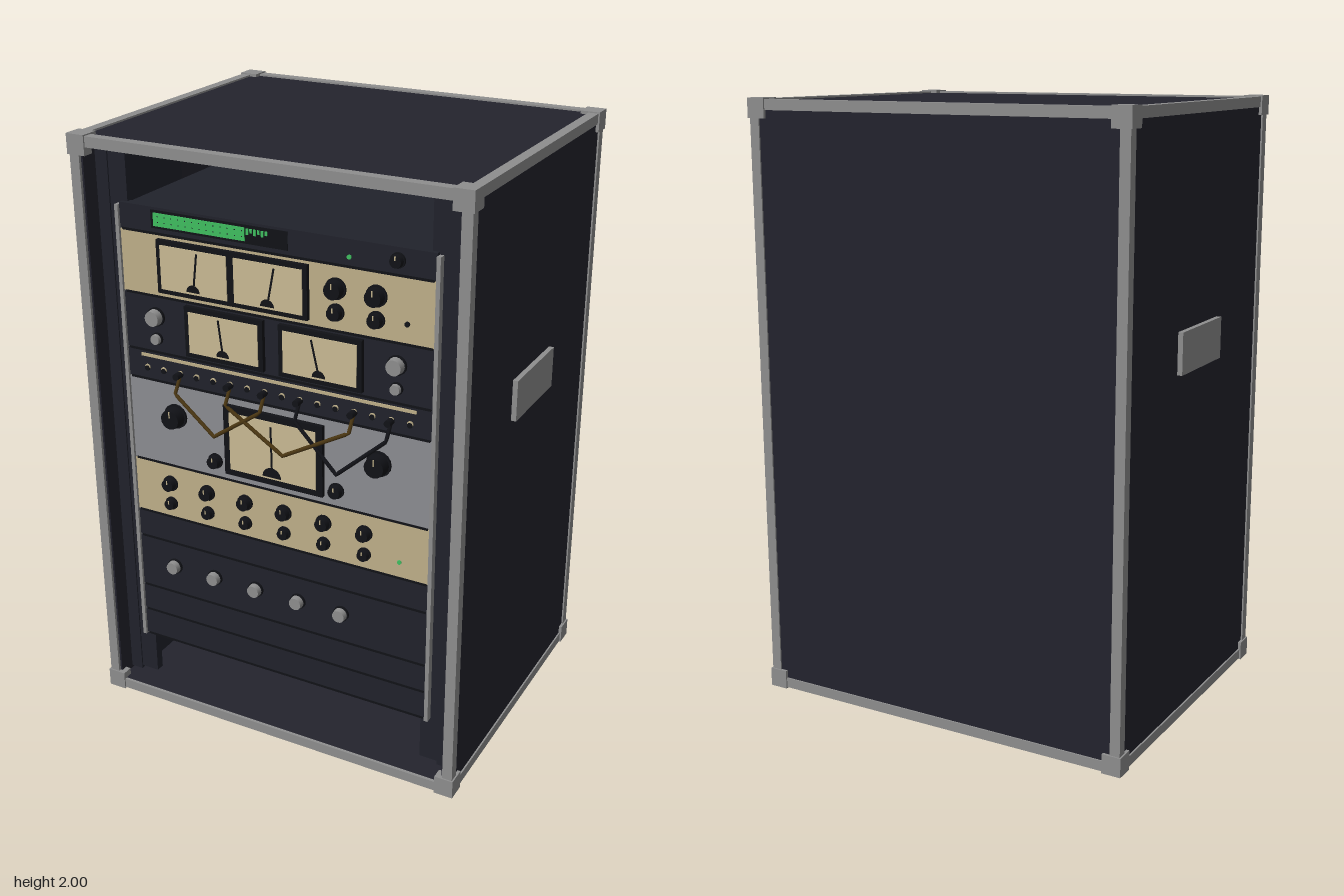
import * as THREE from 'three';

const mat = (name, color) => {
  const m = new THREE.MeshStandardMaterial({ color });
  m.name = name;
  return m;
};

export function createModel() {
  const shell = mat('dark shell', 0x23232d);
  const unitDark = mat('dark faceplate', 0x20222b);
  const black = mat('black plastic', 0x111217);
  const metal = mat('grey metal', 0x8e8e8e);
  const plate = mat('grey faceplate', 0x8c8d92);
  const cream = mat('cream faceplate', 0xbfb08a);
  const dial = mat('meter dial', 0xcabb94);
  const green = mat('green light', 0x3fbf60);
  const brown = mat('brown cable', 0x4a3612);

  const root = new THREE.Group();
  root.name = 'equipmentRack';
  const FACE = 0.47; // front plane of the rack units

  const group = (name, parent = root) => {
    const g = new THREE.Group();
    g.name = name;
    parent.add(g);
    return g;
  };
  const add = (parent, name, geo, m, x, y, z) => {
    const mesh = new THREE.Mesh(geo, m);
    mesh.name = name;
    mesh.position.set(x, y, z);
    parent.add(mesh);
    return mesh;
  };
  // box given by its min and max corners
  const span = (parent, name, m, x0, x1, y0, y1, z0, z1) =>
    add(parent, name, new THREE.BoxGeometry(x1 - x0, y1 - y0, z1 - z0), m,
      (x0 + x1) / 2, (y0 + y1) / 2, (z0 + z1) / 2);
  const disc = (parent, name, m, x, y, z, r, depth, r2 = r) =>
    add(parent, name, new THREE.CylinderGeometry(r2, r, depth, 16), m,
      x, y, z + depth / 2).rotateX(Math.PI / 2);

  // cabinet shell, open at the front
  const cabinet = group('cabinet');
  for (const s of [-1, 1]) {
    add(cabinet, 'sidePanel', new THREE.BoxGeometry(0.035, 1.97, 1.04), shell, s * 0.641, 1, 0);
    add(cabinet, 'handlePlate', new THREE.BoxGeometry(0.02, 0.135, 0.31), metal, s * 0.665, 1.243, 0);
  }
  span(cabinet, 'topPanel', shell, -0.65, 0.65, 1.96, 1.99, -0.52, 0.52);
  span(cabinet, 'bottomPanel', shell, -0.65, 0.65, 0.01, 0.04, -0.52, 0.52);
  span(cabinet, 'backPanel', shell, -0.65, 0.65, 0.02, 1.98, -0.525, -0.495);

  // metal edging along all twelve edges, with corner blocks
  const trim = group('edgeTrim');
  const T = 0.034;
  for (const a of [-1, 1]) for (const b of [-1, 1]) {
    add(trim, 'edgeX', new THREE.BoxGeometry(1.326, T, T), metal, 0, 1 + a * 0.979, b * 0.513);
    add(trim, 'edgeY', new THREE.BoxGeometry(T, 1.99, T), metal, a * 0.647, 1, b * 0.513);
    add(trim, 'edgeZ', new THREE.BoxGeometry(T, T, 1.06), metal, a * 0.647, 1 + b * 0.979, 0);
    // three thin plates per corner keep the opening clear
    for (const c of [-1, 1]) {
      const k = 0.064, t = 0.038;
      const parts = [[k, k, t], [k, t, k], [t, k, k]];
      for (const [w, h, d] of parts) {
        add(trim, 'cornerCap', new THREE.BoxGeometry(w, h, d), metal,
          a * (0.669 - w / 2), 1 + b * (1 - h / 2), c * (0.535 - d / 2));
      }
    }
  }

  // mounting rails and their bright inner strips
  const rails = group('rackRails');
  for (const s of [-1, 1]) {
    add(rails, 'mountingRail', new THREE.BoxGeometry(0.065, 1.88, 0.03), unitDark, s * 0.548, 1, 0.44);
    add(rails, 'railFlange', new THREE.BoxGeometry(0.045, 1.9, 0.4), unitDark, s * 0.602, 1, 0.26);
    add(rails, 'railStrip', new THREE.BoxGeometry(0.013, 1.56, 0.04), metal, s * 0.544, 1, 0.458);
  }

  const unit = (name, m, y0, y1) => {
    const g = group(name);
    span(g, 'chassis', unitDark, -0.51, 0.51, y0 + 0.002, y1 - 0.002, -0.3, 0.44);
    span(g, 'faceplate', m, -0.537, 0.537, y0 + 0.002, y1 - 0.002, 0.44, FACE);
    span(g, 'seam', black, -0.53, 0.53, y0 - 0.004, y0 + 0.004, 0.44, FACE + 0.001);
    return g;
  };
  const knob = (parent, x, y, r, m = black) => {
    const g = group('knob', parent);
    const depth = r * 1.1;
    disc(g, 'knobCollar', black, x, y, FACE, r * 1.12, 0.008);
    disc(g, 'knobBody', m, x, y, FACE, r, depth, r * 0.88);
    if (m === black) {
      span(g, 'knobPointer', cream, x - 0.002, x + 0.002, y + r * 0.2, y + r * 0.8,
        FACE + depth, FACE + depth + 0.002);
    }
  };
  const meter = (parent, x0, x1, y0, y1, border, tilt) => {
    const g = group('meter', parent);
    const cx = (x0 + x1) / 2, h = y1 - y0;
    span(g, 'meterFrame', black, x0 - border, x1 + border, y0 - border, y1 + border, FACE, FACE + 0.015);
    span(g, 'meterDial', dial, x0, x1, y0, y1, FACE + 0.015, FACE + 0.018);
    const len = h * 0.86;
    const needle = add(g, 'needle', new THREE.BoxGeometry(0.006, len, 0.002).translate(0, len / 2, 0),
      black, cx, y0 + 0.012, FACE + 0.02);
    needle.rotation.z = -tilt;
    add(g, 'needleHub', new THREE.CircleGeometry(h * 0.17, 12, 0, Math.PI), black, cx, y0 + 0.008, FACE + 0.0215);
  };

  // level display unit: a row of lit bars falling off at the right
  const display = unit('levelDisplayUnit', unitDark, 1.705, 1.79);
  span(display, 'displayWindow', black, -0.42, 0.06, 1.722, 1.78, FACE, FACE + 0.002);
  span(display, 'litBar', green, -0.41, -0.085, 1.73, 1.772, FACE + 0.002, FACE + 0.005);
  for (let i = 0; i < 13; i++) {
    const x = -0.395 + i * 0.025;
    for (const y of [1.742, 1.76])
      span(display, 'barGap', unitDark, x, x + 0.003, y, y + 0.003, FACE + 0.005, FACE + 0.006);
  }
  for (let i = 0; i < 6; i++) {
    const x = -0.08 + i * 0.013;
    span(display, 'litSegment', green, x, x + 0.008, 1.751 + (i % 2) * 0.006, 1.77, FACE + 0.002, FACE + 0.005);
  }
  disc(display, 'statusLight', green, 0.263, 1.735, FACE, 0.007, 0.005);
  knob(display, 0.418, 1.75, 0.021);

  // cream twin meter unit
  const twin = unit('creamMeterUnit', cream, 1.5, 1.705);
  meter(twin, -0.383, -0.145, 1.535, 1.677, 0.015, 0.13);
  meter(twin, -0.12, 0.115, 1.535, 1.677, 0.015, 0.2);
  for (const x of [0.22, 0.352]) {
    knob(twin, x, 1.633, 0.03);
    knob(twin, x, 1.56, 0.024);
  }
  disc(twin, 'socket', black, 0.45, 1.563, FACE, 0.008, 0.006);

  // dark twin meter unit
  const dark = unit('darkMeterUnit', unitDark, 1.31, 1.5);
  meter(dark, -0.29, -0.042, 1.34, 1.475, 0.016, -0.12);
  meter(dark, 0.045, 0.295, 1.34, 1.475, 0.016, -0.22);
  for (const s of [-1, 1]) {
    knob(dark, s * 0.42, 1.432, 0.028, metal);
    knob(dark, s * 0.42, 1.358, 0.018, metal);
  }

  // patch bay with label strip and a row of jacks
  const bay = unit('patchBay', unitDark, 1.21, 1.31);
  span(bay, 'labelStrip', cream, -0.485, 0.485, 1.289, 1.299, FACE, FACE + 0.004);
  for (let i = 0; i < 16; i++) {
    const x = -0.465 + i * 0.062;
    disc(bay, 'jackRing', cream, x, 1.252, FACE, 0.01, 0.004);
    disc(bay, 'jackHole', black, x, 1.249, FACE, 0.009, 0.006);
  }

  // grey unit with one large meter
  const big = unit('greyMeterUnit', plate, 0.915, 1.21);
  meter(big, -0.155, 0.155, 0.965, 1.163, 0.022, -0.01);
  for (const s of [-1, 1]) {
    knob(big, s * 0.365, 1.1, 0.037);
    knob(big, s * 0.22, 0.973, 0.023);
  }

  // cream unit with two rows of knobs
  const mixer = unit('creamKnobUnit', cream, 0.72, 0.915);
  for (let i = 0; i < 6; i++) {
    const x = -0.4 + i * 0.1435;
    knob(mixer, x, 0.848, 0.024);
    knob(mixer, x, 0.774, 0.02);
  }
  disc(mixer, 'statusLight', green, 0.438, 0.777, FACE, 0.007, 0.005);

  // lower dark units
  unit('upperBlankPanel', unitDark, 0.62, 0.72);
  const amp = unit('darkKnobUnit', unitDark, 0.425, 0.62);
  for (let i = 0; i < 5; i++) knob(amp, -0.4 + i * 0.159, 0.532, 0.024, metal);
  unit('middleBlankPanel', unitDark, 0.325, 0.425);
  unit('lowerBlankPanel', unitDark, 0.225, 0.325);

  // patch cables hanging in angular loops between jacks
  const cables = group('patchCables');
  const cable = (m, x0, x1, low) => {
    const path = new THREE.CurvePath();
    const mid = (x0 + x1) / 2;
    const pts = [[x0, 1.25, FACE], [x0, 1.195, 0.505], [mid, low, 0.528], [x1, 1.195, 0.505], [x1, 1.25, FACE]]
      .map(p => new THREE.Vector3(...p));
    for (let i = 0; i < 4; i++) path.add(new THREE.LineCurve3(pts[i], pts[i + 1]));
    add(cables, 'cable', new THREE.TubeGeometry(path, 48, 0.0065, 6), m, 0, 0, 0);
    for (const x of [x0, x1]) disc(cables, 'plug', black, x, 1.25, FACE, 0.011, 0.03);
  };
  cable(brown, -0.341, -0.031, 1.09);
  cable(brown, -0.155, 0.279, 1.08);
  cable(black, 0.093, 0.403, 1.06);

  return root;
}
